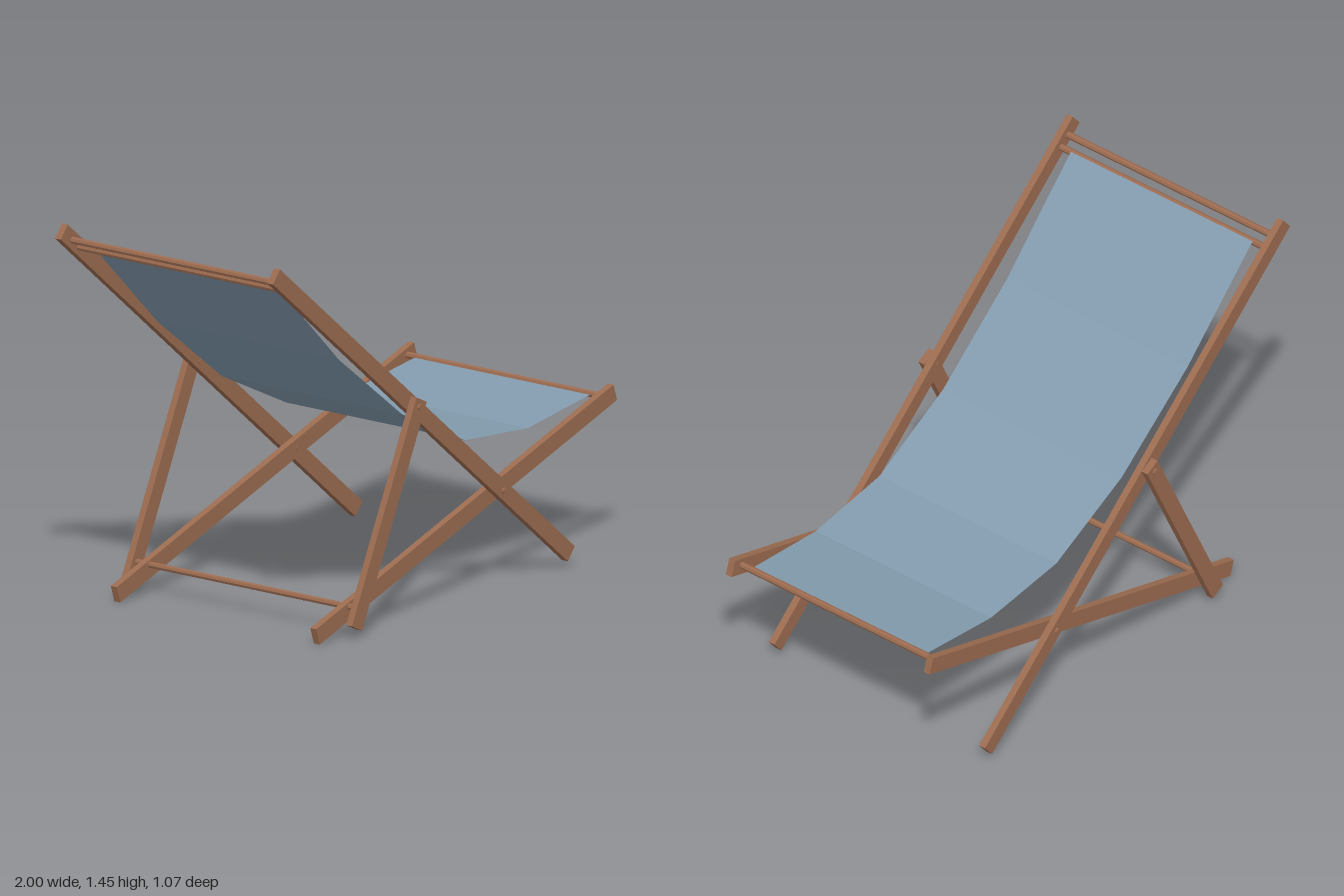
import * as THREE from 'three';

export function createModel() {
  const wood = new THREE.MeshStandardMaterial({ name: 'wood', color: 0x9b6b4f, flatShading: true });
  const canvas = new THREE.MeshStandardMaterial({
    name: 'canvas', color: 0x829bae, flatShading: true, side: THREE.DoubleSide,
  });
  const group = new THREE.Group();
  group.name = 'deckChair';

  const add = (geometry, material, name, x, y, z) => {
    const mesh = new THREE.Mesh(geometry, material);
    mesh.name = name;
    mesh.position.set(x, y, z);
    group.add(mesh);
    return mesh;
  };

  // Flat wooden plank running between two points of the side profile
  const plank = (name, [x1, y1], [x2, y2], z, width) => {
    const length = Math.hypot(x2 - x1, y2 - y1);
    const mesh = add(new THREE.BoxGeometry(length, width, 0.027), wood, name, (x1 + x2) / 2, (y1 + y2) / 2, z);
    mesh.rotation.z = Math.atan2(y2 - y1, x2 - x1);
  };

  // Round rod lying along z
  const rod = (name, x, y, z, radius, length) => {
    const geometry = new THREE.CylinderGeometry(radius, radius, length, 8).rotateX(Math.PI / 2);
    add(geometry, wood, name, x, y, z);
  };

  // Side frames, mirrored
  for (const s of [1, -1]) {
    plank('backRail', [-0.98, 1.428], [0.703, 0.045], s * 0.4865, 0.062);
    plank('seatRail', [-0.707, 0.031], [0.99, 0.577], s * 0.4575, 0.064);
    plank('propStrut', [-0.187, 0.81], [-0.556, 0.04], s * 0.5155, 0.064);
    rod('railPivot', 0.317, 0.361, s * 0.475, 0.012, 0.066);
    rod('strutPivot', -0.2, 0.785, s * 0.504, 0.012, 0.066);
  }

  // Cross rods
  rod('headRod', -0.933, 1.388, 0, 0.013, 0.96);
  rod('canvasTopRod', -0.895, 1.355, 0, 0.013, 0.96);
  rod('canvasFootRod', 0.943, 0.569, 0, 0.013, 0.9);
  rod('propRod', -0.528, 0.105, 0, 0.012, 1.02);

  // Sagging canvas sling in five flat panels, slightly narrower at the foot
  const heights = [1.365, 1.01, 0.73, 0.555, 0.522, 0.57];
  const sling = new THREE.PlaneGeometry(1, 1, 5, 1).rotateX(-Math.PI / 2);
  const p = sling.attributes.position;
  for (let i = 0; i < p.count; i++) {
    const t = p.getX(i) + 0.5;
    const halfWidth = 0.42 - 0.018 * t;
    p.setXYZ(i, -0.885 + 1.822 * t, heights[Math.round(t * 5)], Math.sign(p.getZ(i)) * halfWidth);
  }
  sling.computeVertexNormals();
  add(sling, canvas, 'canvasSling', 0, 0, 0);

  return group;
}
